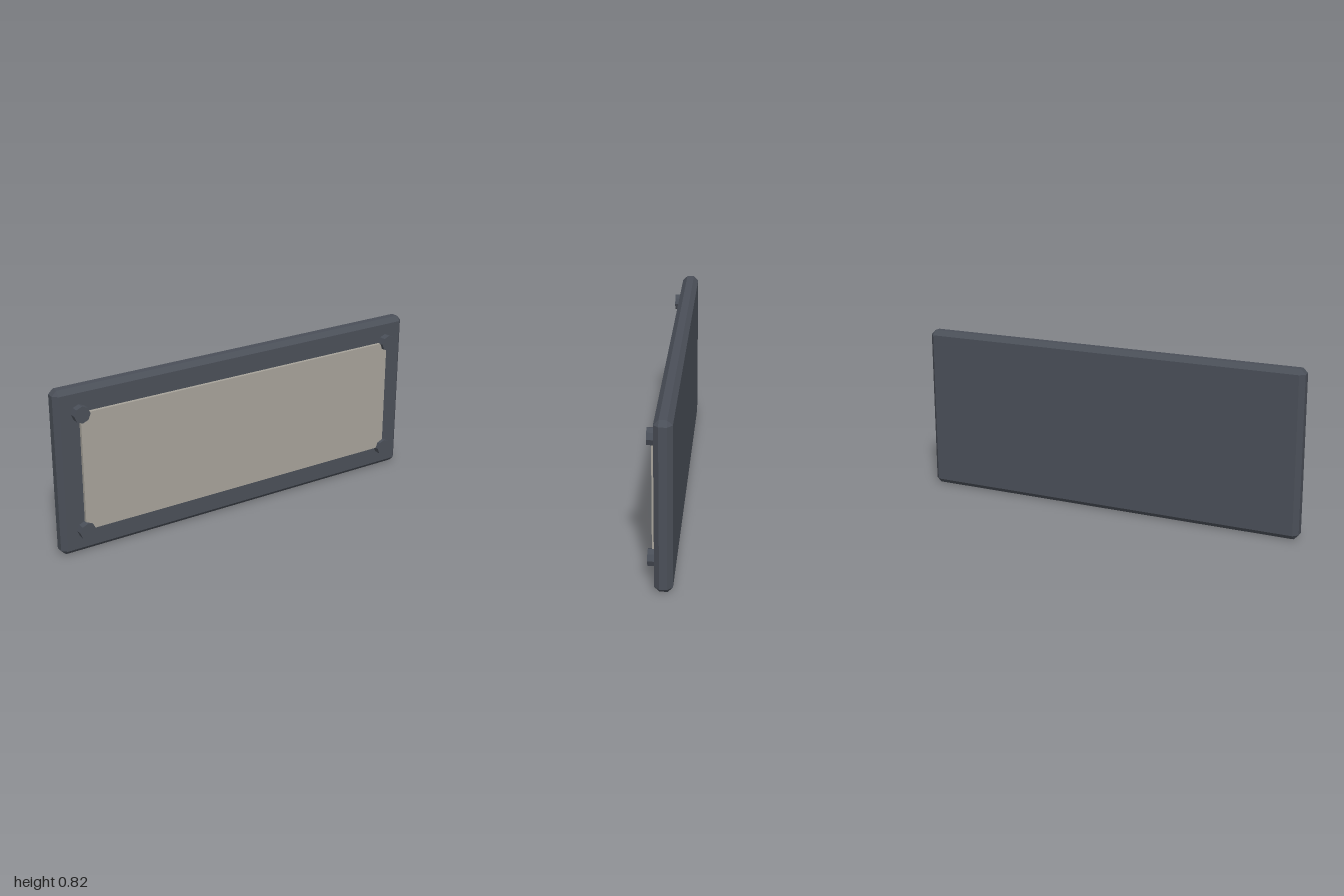
import * as THREE from 'three';
import { ConvexGeometry } from 'three/addons/geometries/ConvexGeometry.js';

const HEIGHT = 0.824, MID_Y = HEIGHT / 2;

// Box with every edge cut by a flat chamfer
function chamferedBox(w, h, d, c) {
  const points = [];
  for (const sx of [-1, 1]) for (const sy of [-1, 1]) for (const sz of [-1, 1]) {
    const x = w / 2, y = h / 2, z = d / 2;
    points.push(
      new THREE.Vector3(sx * x, sy * (y - c), sz * (z - c)),
      new THREE.Vector3(sx * (x - c), sy * y, sz * (z - c)),
      new THREE.Vector3(sx * (x - c), sy * (y - c), sz * z),
    );
  }
  return new ConvexGeometry(points);
}

export function createModel() {
  const group = new THREE.Group();
  group.name = 'wallPlate';
  const darkMetal = new THREE.MeshStandardMaterial({ color: 0x4a4f58, flatShading: true });
  darkMetal.name = 'dark metal';
  const palePanel = new THREE.MeshStandardMaterial({ color: 0xa6a299, flatShading: true });
  palePanel.name = 'pale panel';

  const add = (name, geometry, material, x, y, z) => {
    const mesh = new THREE.Mesh(geometry, material);
    mesh.name = name;
    mesh.position.set(x, y, z);
    group.add(mesh);
  };

  // Backing plate
  add('backingPlate', chamferedBox(2, HEIGHT, 0.083, 0.0235), darkMetal, 0, MID_Y, -0.0175);

  // Raised face panel
  add('facePanel', new THREE.BoxGeometry(1.764, 0.588, 0.032), palePanel, 0, MID_Y, 0.025);

  // Eight-sided bolts centred on the panel's corners
  const bolt = new THREE.CylinderGeometry(0.041, 0.041, 0.047, 8).rotateX(Math.PI / 2);
  for (const [side, sx] of [['Left', 1], ['Right', -1]])
    for (const [level, sy] of [['upper', 1], ['lower', -1]])
      add(`${level}${side}Bolt`, bolt, darkMetal, sx * 0.882, MID_Y + sy * 0.294, 0.0355);

  return group;
}
